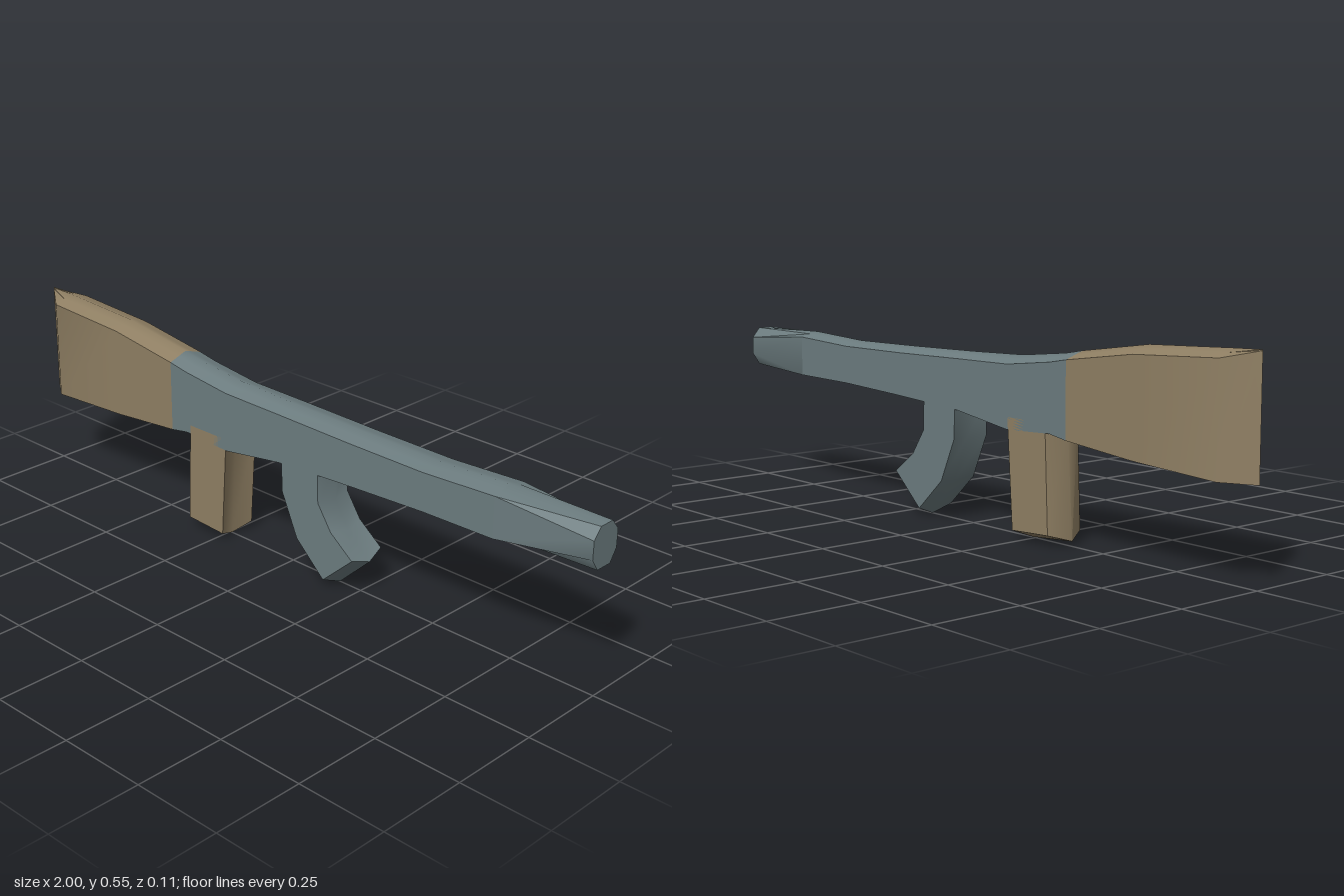
import * as THREE from 'three';
import { toCreasedNormals } from 'three/addons/utils/BufferGeometryUtils.js';

const W = 0.057; // half thickness
const wood = new THREE.MeshStandardMaterial({ color: 0x8f7f63 });
const metal = new THREE.MeshStandardMaterial({ color: 0x6c7c7f });

function makeMesh(name, points, index, material, crease) {
  const geometry = new THREE.BufferGeometry();
  geometry.setAttribute('position', new THREE.Float32BufferAttribute(points.flat(), 3));
  geometry.setIndex(index);
  const mesh = new THREE.Mesh(toCreasedNormals(geometry.toNonIndexed(), crease), material);
  mesh.name = name;
  return mesh;
}

// Cross-section with flat bottom, upright sides and a ridged top
function section(x, bottom, side, ridge, w = W) {
  const m = w * 0.45;
  const shoulder = side + (ridge - side) * 0.55;
  const half = [[m, bottom], [w, bottom], [w, side], [m, shoulder]];
  return mirrorRing(x, half, ridge);
}

// Completes a ring from its +z half and the top centre point
function mirrorRing(x, half, top) {
  const left = half.map(([z, y]) => [x, y, z]);
  const right = half.map(([z, y]) => [x, y, -z]).reverse();
  return [...left, [x, top, 0], ...right];
}

// Skin over rings that run along +x, closed at the far end
function loft(name, rings, material, crease) {
  const n = rings[0].length;
  const index = [];
  for (let i = 0; i < rings.length - 1; i++) {
    for (let j = 0; j < n; j++) {
      const a = i * n + j;
      const d = i * n + (j + 1) % n;
      index.push(a, a + n, d + n, a, d + n, d);
    }
  }
  const end = (rings.length - 1) * n;
  for (let j = 1; j < n - 1; j++) index.push(end, end + j + 1, end + j);
  return makeMesh(name, rings.flat(), index, material, crease);
}

// Flat-sided part whose middle outline is shifted from its side outline
function chevron(name, sides, middle, material) {
  const n = sides.length;
  const points = [
    ...sides.map(([x, y]) => [x, y, W]),
    ...middle.map(([x, y]) => [x, y, 0]),
    ...sides.map(([x, y]) => [x, y, -W]),
  ];
  const index = [];
  for (let r = 0; r < 2; r++) {
    for (let k = 0; k < n; k++) {
      const a = r * n + k;
      const d = r * n + (k + 1) % n;
      index.push(a, a + n, d + n, a, d + n, d);
    }
  }
  const outline = sides.map(([x, y]) => new THREE.Vector2(x, y));
  for (const [a, b, c] of THREE.ShapeUtils.triangulateShape(outline, [])) {
    index.push(a, b, c, 2 * n + a, 2 * n + c, 2 * n + b);
  }
  return makeMesh(name, points, index, material, 0.9);
}

export function createModel() {
  const group = new THREE.Group();

  // Shoulder stock, narrowing to a vertical edge at the butt
  const joint = section(-0.42, 0.285, 0.487, 0.506);
  group.add(loft('stock', [
    section(-1, 0.247, 0.55, 0.556, 0),
    section(-0.92, 0.25, 0.534, 0.553),
    section(-0.65, 0.264, 0.52, 0.54),
    joint,
  ], wood, 0.9));

  // Long body
  const bodyEnd = section(0.72, 0.344, 0.457, 0.47);
  group.add(loft('body', [
    joint,
    section(-0.36, 0.295, 0.476, 0.495),
    section(-0.2, 0.287, 0.457, 0.477),
    section(0, 0.316, 0.454, 0.47),
    section(0.25, 0.33, 0.449, 0.464),
    section(0.5, 0.341, 0.447, 0.46),
    bodyEnd,
  ], metal, 0.9));

  // Tapering barrel with an octagonal tip
  const tip = mirrorRing(1, [[0.025, 0.351], [0.047, 0.384], [0.047, 0.434], [0.023, 0.463]], 0.463);
  group.add(loft('barrel', [bodyEnd, tip], metal, 0.6));

  // Straight rear grip
  group.add(chevron('rearGrip',
    [[-0.357, 0.033], [-0.222, 0.026], [-0.202, 0.32], [-0.345, 0.32]],
    [[-0.388, 0.016], [-0.242, 0.004], [-0.222, 0.32], [-0.368, 0.32]],
    wood));

  // Curved magazine
  group.add(chevron('magazine',
    [[0.01, 0.34], [0.014, 0.235], [0.068, 0.115], [0.165, 0.025], [0.268, 0.117],
      [0.192, 0.175], [0.145, 0.245], [0.142, 0.34]],
    [[0.022, 0.34], [0.028, 0.232], [0.08, 0.108], [0.176, 0.003], [0.28, 0.1],
      [0.204, 0.165], [0.155, 0.24], [0.154, 0.34]],
    metal));

  return group;
}
